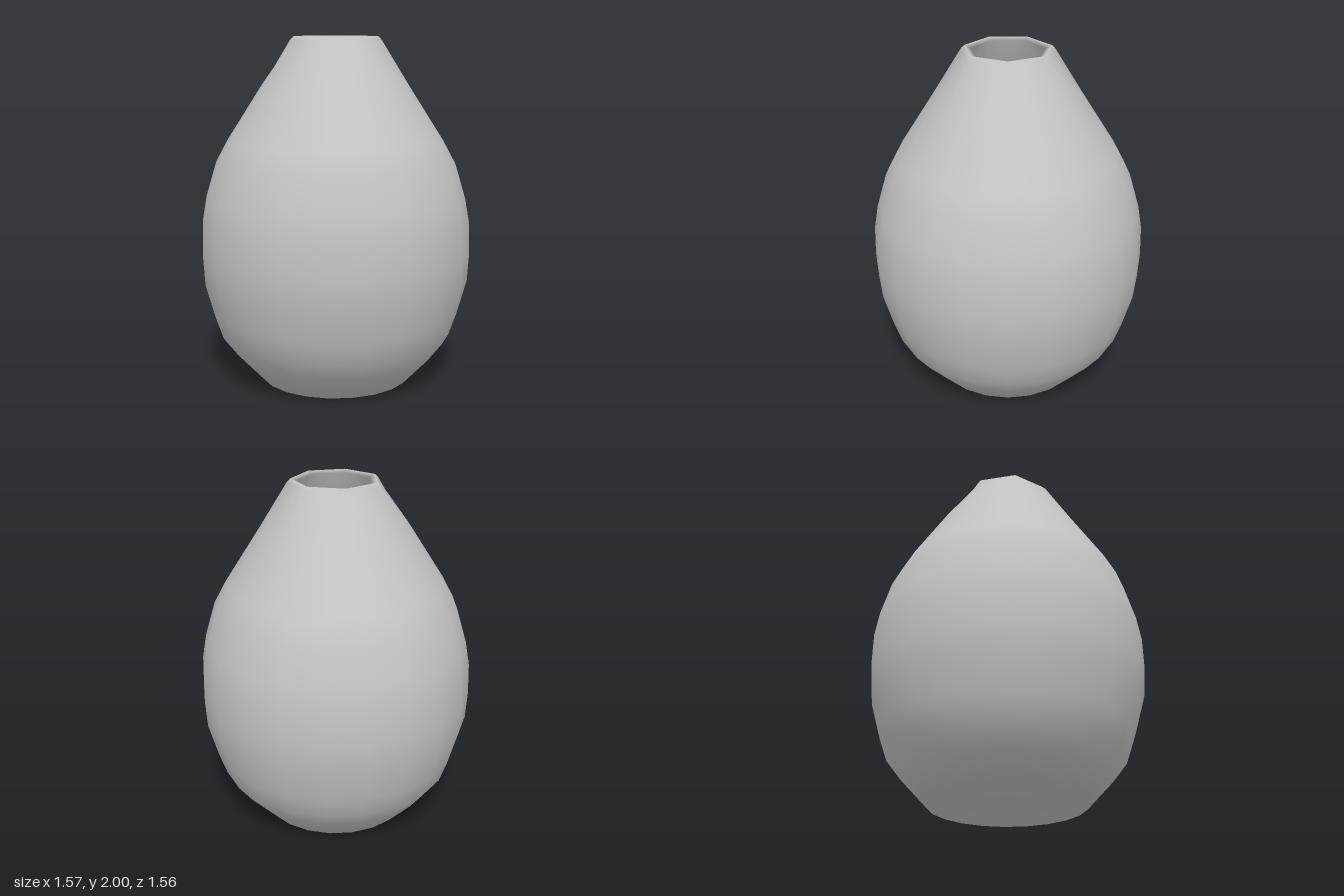
import * as THREE from 'three';

export function createModel() {
  const group = new THREE.Group();
  const clay = new THREE.MeshStandardMaterial({ color: 0xc4c4c4 });
  clay.name = 'grey clay';

  // Profile: base, belly, neck, rim, then back down the inner wall to the floor
  const profile = [
    [0, 0], [0.44, 0], [0.59, 0.16], [0.675, 0.27], [0.72, 0.4], [0.775, 0.6],
    [0.785, 0.76], [0.78, 0.94], [0.755, 1.08], [0.695, 1.28], [0.625, 1.41],
    [0.42, 1.73], [0.265, 1.98], [0.245, 2], [0.21, 1.985],
    [0.37, 1.72], [0.57, 1.4], [0.64, 1.27], [0.72, 0.94], [0.72, 0.6],
    [0.62, 0.27], [0.42, 0.06], [0, 0.06],
  ].map(([r, y]) => new THREE.Vector2(r, y));
  const geometry = new THREE.LatheGeometry(profile, 21);

  // Pinch the mouth into a soft seven-sided outline
  const pos = geometry.attributes.position;
  const side = (Math.PI * 2) / 7;
  for (let i = 0; i < pos.count; i++) {
    if (pos.getY(i) < 1.9) continue;
    const x = pos.getX(i), z = pos.getZ(i);
    const a = Math.atan2(x, z) + Math.PI * 2;
    const k = Math.cos(side / 2) / Math.cos((a % side) - side / 2);
    pos.setX(i, x * k);
    pos.setZ(i, z * k);
  }

  const vase = new THREE.Mesh(geometry, clay);
  vase.name = 'vaseBody';
  group.add(vase);
  return group;
}
